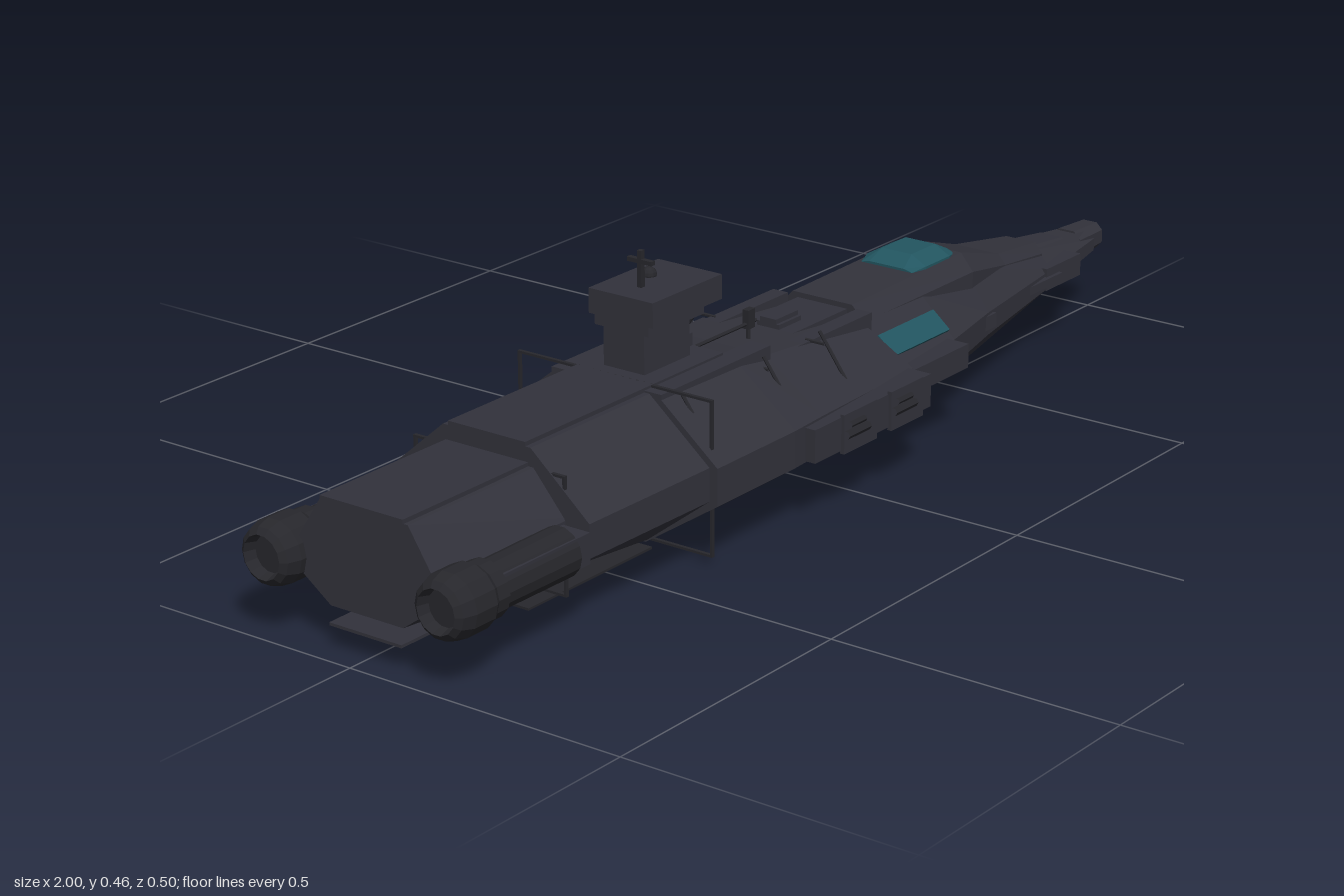
import * as THREE from 'three';

const hullMat = new THREE.MeshStandardMaterial({ name: 'hullGrey', color: 0x32323b });
const darkMat = new THREE.MeshStandardMaterial({ name: 'darkMetal', color: 0x27272c });
const glassMat = new THREE.MeshStandardMaterial({ name: 'tealGlass', color: 0x225560 });
for (const m of [hullMat, darkMat, glassMat]) m.flatShading = true;

export function createModel() {
  const root = new THREE.Group();
  root.name = 'ship';

  function add(name, geo, mat = hullMat) {
    const mesh = new THREE.Mesh(geo, mat);
    mesh.name = name;
    root.add(mesh);
    return mesh;
  }
  // Box given by its limits on each axis
  function box(name, x0, x1, y0, y1, z0, z1, mat) {
    const mesh = add(name, new THREE.BoxGeometry(x1 - x0, y1 - y0, Math.abs(z1 - z0)), mat);
    mesh.position.set((x0 + x1) / 2, (y0 + y1) / 2, (z0 + z1) / 2);
    return mesh;
  }
  // Faceted loft along x through closed sections of [y, z] points
  function loft(name, xs, sections, mat) {
    const pos = [];
    const n = sections[0].length;
    const put = (k, i) => pos.push(xs[k], ...sections[k][i % n]);
    for (let k = 0; k < xs.length - 1; k++) {
      for (let i = 0; i < n; i++) {
        put(k, i); put(k, i + 1); put(k + 1, i + 1);
        put(k, i); put(k + 1, i + 1); put(k + 1, i);
      }
    }
    const last = xs.length - 1;
    for (let i = 1; i < n - 1; i++) {
      put(last, 0); put(last, i); put(last, i + 1);
      put(0, 0); put(0, i + 1); put(0, i);
    }
    const geo = new THREE.BufferGeometry();
    geo.setAttribute('position', new THREE.Float32BufferAttribute(pos, 3));
    geo.computeVertexNormals();
    return add(name, geo, mat);
  }
  // Symmetric eight-sided hull; rows are
  // [x, bottom, lower waist, upper waist, top, bottom width, waist width, top width]
  function hull(name, rows, mat) {
    const half = ([, b, l, u, t, wb, ww, wt]) => [[t, wt], [u, ww], [l, ww], [b, wb]];
    loft(name, rows.map(r => r[0]), rows.map(r => {
      const h = half(r);
      return [...h, ...h.slice().reverse().map(([y, z]) => [y, -z])];
    }), mat);
  }
  // Round bar between two points
  function rod(name, a, b, r, mat = darkMat) {
    const curve = new THREE.LineCurve3(new THREE.Vector3(...a), new THREE.Vector3(...b));
    return add(name, new THREE.TubeGeometry(curve, 1, r, 6), mat);
  }

  // Main hull, stern to bow
  hull('sternHull', [
    [-0.96, 0.068, 0.115, 0.155, 0.232, 0.07, 0.135, 0.085],
    [-0.67, 0.046, 0.11, 0.165, 0.235, 0.075, 0.15, 0.09]]);
  hull('aftHull', [
    [-0.685, 0.046, 0.115, 0.17, 0.265, 0.075, 0.195, 0.085],
    [-0.39, 0.02, 0.115, 0.17, 0.265, 0.075, 0.2, 0.085]]);
  hull('midHull', [
    [-0.4, 0.018, 0.11, 0.172, 0.266, 0.075, 0.215, 0.1],
    [-0.2, 0.016, 0.11, 0.172, 0.262, 0.075, 0.215, 0.1],
    [-0.12, 0.018, 0.11, 0.172, 0.25, 0.075, 0.21, 0.1],
    [0.16, 0.058, 0.115, 0.165, 0.222, 0.075, 0.19, 0.09]]);
  hull('foreHull', [
    [0.14, 0.055, 0.11, 0.16, 0.222, 0.075, 0.165, 0.085],
    [0.34, 0.056, 0.11, 0.155, 0.222, 0.07, 0.15, 0.08],
    [0.5, 0.05, 0.11, 0.15, 0.218, 0.06, 0.112, 0.065],
    [0.77, 0.085, 0.115, 0.145, 0.176, 0.035, 0.066, 0.035],
    [0.97, 0.11, 0.12, 0.142, 0.158, 0.015, 0.028, 0.018]]);
  hull('cockpitBlock', [
    [0.17, 0.17, 0.19, 0.22, 0.245, 0.08, 0.085, 0.06],
    [0.49, 0.17, 0.19, 0.22, 0.25, 0.08, 0.085, 0.06],
    [0.63, 0.15, 0.17, 0.19, 0.207, 0.055, 0.06, 0.045],
    [0.77, 0.13, 0.15, 0.17, 0.188, 0.035, 0.045, 0.03]]);
  hull('bowRidge', [
    [0.74, 0.12, 0.14, 0.165, 0.186, 0.03, 0.042, 0.028],
    [0.87, 0.12, 0.135, 0.155, 0.17, 0.025, 0.035, 0.022]]);
  hull('noseTip', [
    [0.92, 0.112, 0.125, 0.152, 0.166, 0.014, 0.03, 0.016],
    [1.0, 0.113, 0.127, 0.15, 0.162, 0.012, 0.026, 0.014]]);

  // Canopy over the cockpit
  hull('canopy', [
    [0.355, 0.24, 0.244, 0.248, 0.252, 0.04, 0.052, 0.035],
    [0.385, 0.24, 0.246, 0.253, 0.269, 0.045, 0.06, 0.03],
    [0.455, 0.24, 0.246, 0.253, 0.269, 0.045, 0.06, 0.03],
    [0.485, 0.24, 0.244, 0.248, 0.254, 0.04, 0.05, 0.035]], glassMat);

  // Deck and keel plates
  box('sternTopPlate', -0.965, -0.67, 0.234, 0.241, -0.08, 0.08);
  box('sternKeelPlate', -0.965, -0.67, 0.038, 0.043, -0.07, 0.07);
  box('aftDeckPlate', -0.685, -0.2, 0.265, 0.272, -0.075, 0.075);
  box('aftKeelPlate', -0.685, -0.385, 0.001, 0.005, -0.075, 0.075, darkMat);
  box('foreKeelPlate', 0, 0.3, 0.027, 0.035, -0.075, 0.075);
  box('bowKeelPlate', 0.28, 0.5, 0.038, 0.043, -0.05, 0.05);
  box('deckHatch', 0.02, 0.08, 0.23, 0.244, -0.022, 0.022);
  box('hatchCap', 0.02, 0.08, 0.244, 0.252, -0.016, 0.016);
  box('foreDeckPlate', -0.1, 0.2, 0.222, 0.236, -0.05, 0.05);

  // Rectangular hoops round the hull
  function hoop(x, w, y0, y1) {
    box('hoopTop', x - 0.003, x + 0.003, y1 - 0.004, y1, -w, w, darkMat);
    box('hoopBottom', x - 0.003, x + 0.003, y0, y0 + 0.004, -w, w, darkMat);
    for (const s of [-1, 1]) box('hoopSide', x - 0.003, x + 0.003, y0, y1, s * w, s * (w - 0.004), darkMat);
  }
  hoop(-0.38, 0.191, 0.014, 0.272);
  hoop(-0.68, 0.147, 0.04, 0.233);

  // Command tower and antennas
  box('towerMast', -0.355, -0.24, 0.25, 0.342, -0.04, 0.04);
  box('towerNeck', -0.36, -0.22, 0.338, 0.358, -0.053, 0.053);
  box('towerBridge', -0.362, -0.187, 0.355, 0.396, -0.063, 0.063);
  box('towerStep', -0.24, -0.2, 0.26, 0.293, -0.015, 0.015);
  box('antennaMast', -0.315, -0.306, 0.39, 0.456, -0.004, 0.004, darkMat);
  box('antennaBar', -0.315, -0.306, 0.435, 0.442, -0.024, 0.024, darkMat);
  add('sensorDome', new THREE.SphereGeometry(0.013, 10, 8), darkMat).position.set(-0.26, 0.398, -0.024);
  rod('deckProbe', [-0.2, 0.27, 0.02], [-0.04, 0.27, 0.02], 0.003);
  box('probeHead', -0.068, -0.05, 0.262, 0.294, 0.014, 0.026, darkMat);
  rod('probePost', [-0.06, 0.23, 0.02], [-0.06, 0.272, 0.02], 0.004);

  // Engine profile, tail to front, as [radius, distance]
  const engine = [[0, 0.02], [0.03, 0.02], [0.036, 0], [0.046, 0.008], [0.053, 0.03], [0.053, 0.075],
    [0.047, 0.085], [0.047, 0.11], [0.04, 0.115], [0.041, 0.28], [0, 0.29]]
    .map(([r, h]) => new THREE.Vector2(r, h));

  for (const s of [-1, 1]) {
    // Engines and their pylons
    const pod = add('engine', new THREE.LatheGeometry(engine, 14), darkMat);
    pod.rotation.z = -Math.PI / 2;
    pod.position.set(-1, 0.132, s * 0.168);
    box('enginePylon', -0.9, -0.69, 0.11, 0.16, s * 0.1, s * 0.2);

    // Side sponson with its armour and guns
    box('sponson', -0.17, 0.15, 0.112, 0.168, s * 0.12, s * 0.232);
    box('sponsonStep', 0.1, 0.325, 0.118, 0.16, s * 0.1, s * 0.188);
    box('sponsonBow', 0.3, 0.52, 0.12, 0.145, s * 0.06, s * 0.115);
    for (const x of [-0.1, 0.03]) {
      box('sponsonPlate', x, x + 0.09, 0.107, 0.173, s * 0.23, s * 0.238);
      rod('gunBarrel', [x, 0.14, s * 0.242], [x + 0.06, 0.14, s * 0.242], 0.007);
      rod('upperBarrel', [x + 0.01, 0.155, s * 0.242], [x + 0.05, 0.155, s * 0.242], 0.005);
    }

    // Shoulder armour, braces and bow fairings
    box('shoulderRail', -0.4, -0.12, 0.235, 0.268, s * 0.07, s * 0.108);
    box('foreShoulder', -0.12, 0.17, 0.205, 0.24, s * 0.07, s * 0.1);
    for (const x of [-0.36, -0.15, 0.0]) {
      rod('brace', [x, 0.185, s * 0.172], [x, 0.26, s * 0.117], 0.003);
      rod('braceArm', [x, 0.24, s * 0.09], [x, 0.24, s * 0.128], 0.003);
    }
    box('bowFairing', 0.74, 0.85, 0.115, 0.155, s * 0.04, s * 0.075);
    box('bowProbe', 0.62, 0.78, 0.125, 0.14, s * 0.06, s * 0.082);

    // Side window, a thin pane lying on the sloped flank
    const pane = box('sideWindow', 0.18, 0.34, -0.003, 0.003, -0.022, 0.022, glassMat);
    pane.position.set(0.25, 0.187, s * 0.128);
    pane.rotation.x = s * 0.7;
  }
  return root;
}
